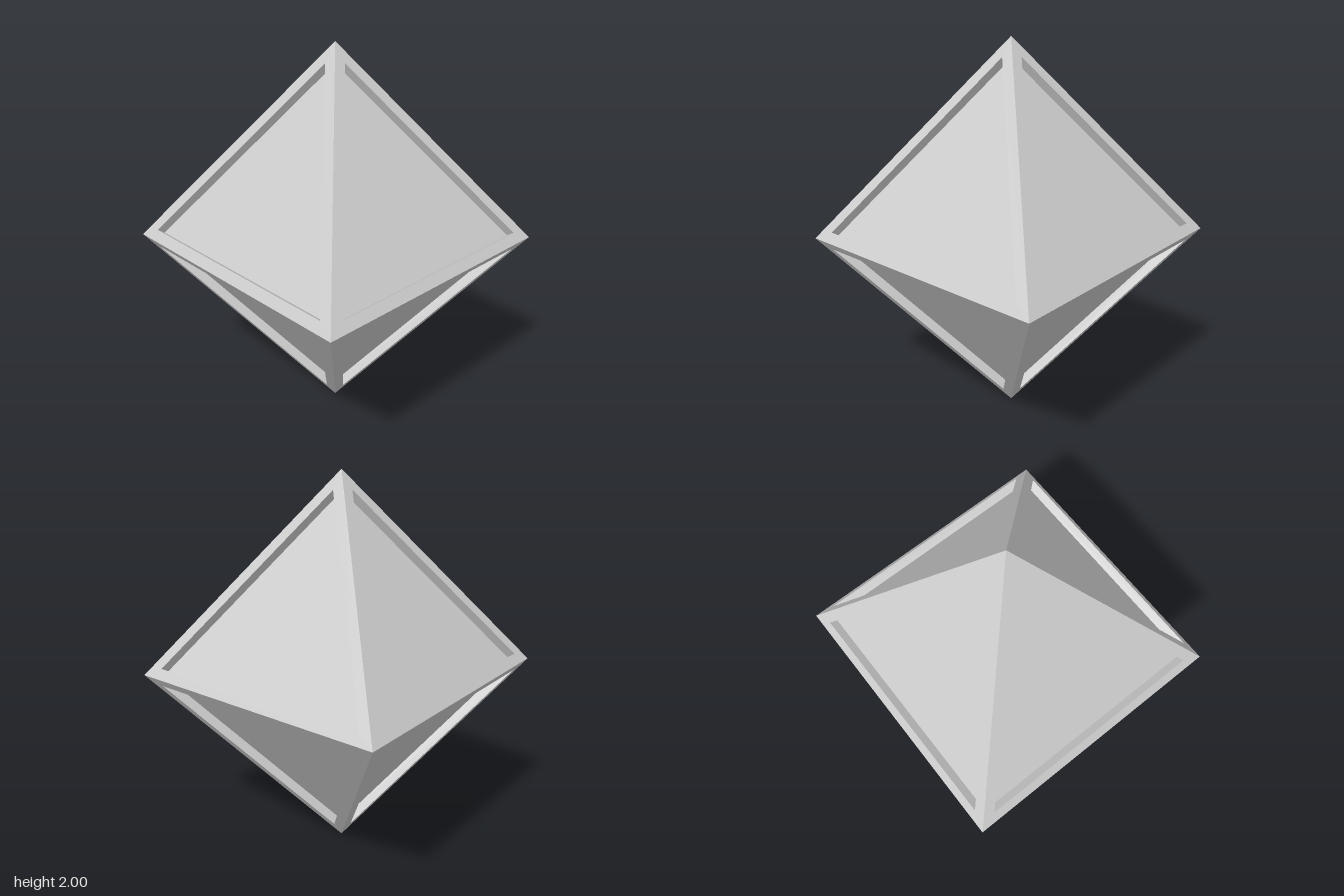
import * as THREE from 'three';

const RIM = 0.046;   // inset of the panel opening from each edge plane
const DEPTH = 0.027; // recess, per axis, straight along the face normal

// Triangle in the positive octant, its corners on the x, y and z axes
function ring(min, max) {
  return [0, 1, 2].map(i => new THREE.Vector3(min, min, min).setComponent(i, max));
}

const outer = ring(0, 1);
const opening = ring(RIM, 1 - 2 * RIM);
const floor = opening.map(p => p.clone().subScalar(DEPTH));

// Triangles that join one ring to the next
function band(a, b) {
  const tris = [];
  for (let i = 0; i < 3; i++) {
    const j = (i + 1) % 3;
    tris.push([a[i], a[j], b[j]], [a[i], b[j], b[i]]);
  }
  return tris;
}

// Mirror triangles into an octant, keeping them facing outwards
function octantMesh(name, tris, sign, material) {
  const flip = sign.x * sign.y * sign.z < 0;
  const points = tris.flatMap(([a, b, c]) => (flip ? [a, c, b] : [a, b, c]))
    .map(p => p.clone().multiply(sign));
  const geometry = new THREE.BufferGeometry().setFromPoints(points);
  geometry.computeVertexNormals();
  const mesh = new THREE.Mesh(geometry, material);
  mesh.name = name;
  return mesh;
}

export function createModel() {
  const model = new THREE.Group();
  model.name = 'octahedron';
  const material = new THREE.MeshStandardMaterial({ color: 0xcccccc, flatShading: true });

  // Eight faces, each a flat rim around a sunken panel
  for (const x of [-1, 1]) for (const y of [-1, 1]) for (const z of [-1, 1]) {
    const sign = new THREE.Vector3(x, y, z);
    const face = new THREE.Group();
    face.name = 'face';
    face.add(
      octantMesh('rim', band(outer, opening), sign, material),
      octantMesh('recessWalls', band(opening, floor), sign, material),
      octantMesh('panel', [floor], sign, material)
    );
    face.position.y = 1;
    model.add(face);
  }
  return model;
}
